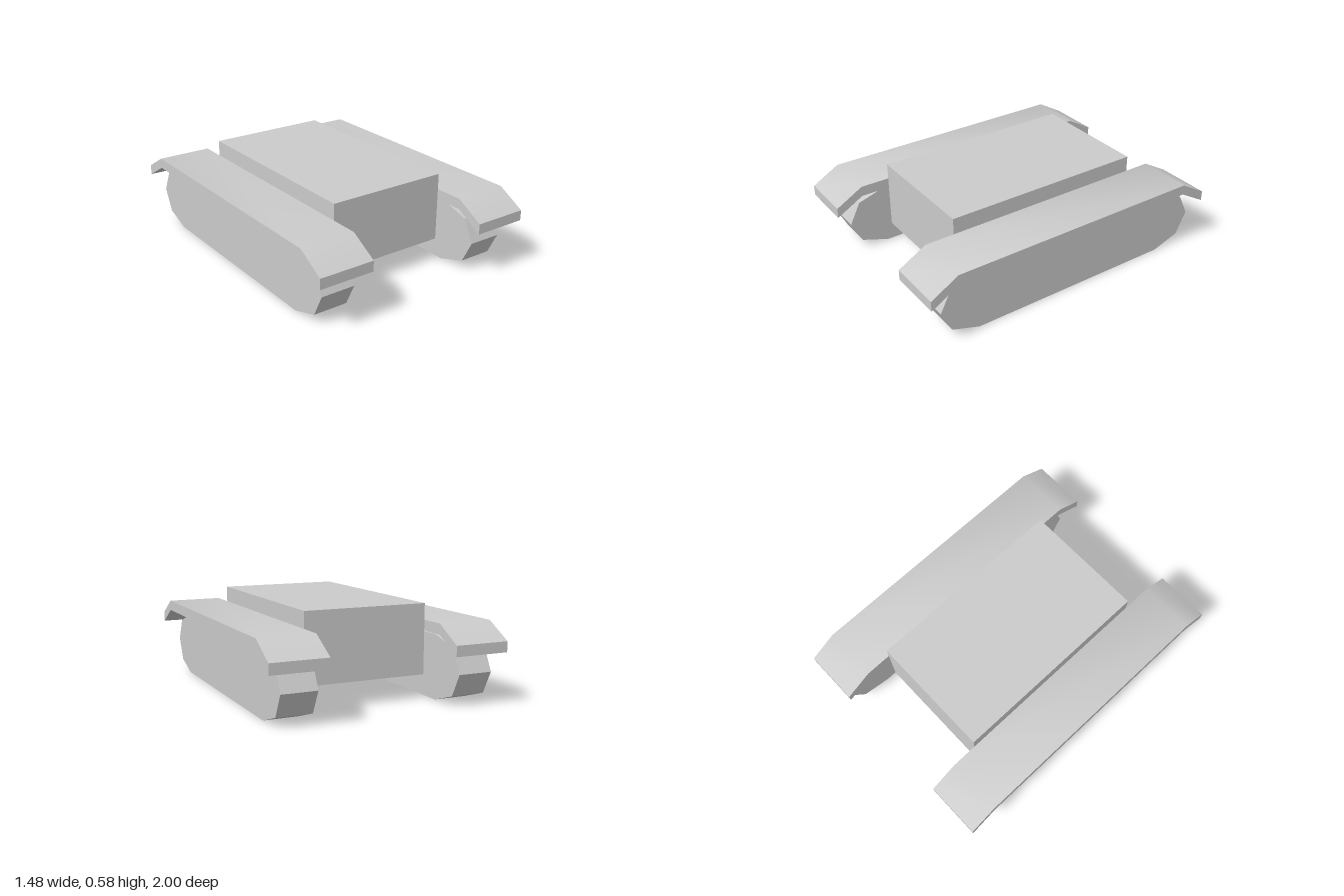
import * as THREE from 'three';
import { toCreasedNormals } from 'three/addons/utils/BufferGeometryUtils.js';

const grey = new THREE.MeshStandardMaterial({ color: 0xcccccc });
const greyFlat = new THREE.MeshStandardMaterial({ color: 0xcccccc, flatShading: true });

// Extrude a side profile of [z, y] points across the width xMin..xMax
function sideExtrusion(points, xMin, xMax) {
  const shape = new THREE.Shape(points.map(([z, y]) => new THREE.Vector2(z, y)));
  const geometry = new THREE.ExtrudeGeometry(shape, { depth: xMax - xMin, bevelEnabled: false });
  return geometry.rotateY(-Math.PI / 2).translate(xMax, 0, 0);
}

export function createModel() {
  const model = new THREE.Group();
  const add = (name, geometry, material) => {
    const mesh = new THREE.Mesh(geometry, material);
    mesh.name = name;
    model.add(mesh);
  };

  // Central hull
  add('hull', new THREE.BoxGeometry(0.78, 0.43, 1.3).translate(0, 0.365, -0.01), greyFlat);

  // Track outline, set slightly to the rear
  const track = [
    [0.9, 0.2], [0.83, 0.34], [0.65, 0.395], [-0.71, 0.395], [-0.89, 0.34],
    [-0.96, 0.2], [-0.89, 0.06], [-0.71, 0], [0.65, 0], [0.83, 0.06],
  ];
  // Mudguard plate with both ends bent down
  const guard = [
    [1, 0.38], [0.825, 0.48], [-0.825, 0.48], [-1, 0.38],
    [-1, 0.315], [-0.825, 0.415], [0.825, 0.415], [1, 0.315],
  ];

  for (const [side, s] of [['left', 1], ['right', -1]]) {
    const span = (inner, outer) => (s > 0 ? [inner, outer] : [-outer, -inner]);
    add(side + 'Track', sideExtrusion(track, ...span(0.443, 0.66)), greyFlat);
    // Bends are shaded smoothly, outer edges stay sharp
    add(side + 'Mudguard', toCreasedNormals(sideExtrusion(guard, ...span(0.392, 0.74)), 0.7), grey);
  }
  return model;
}
